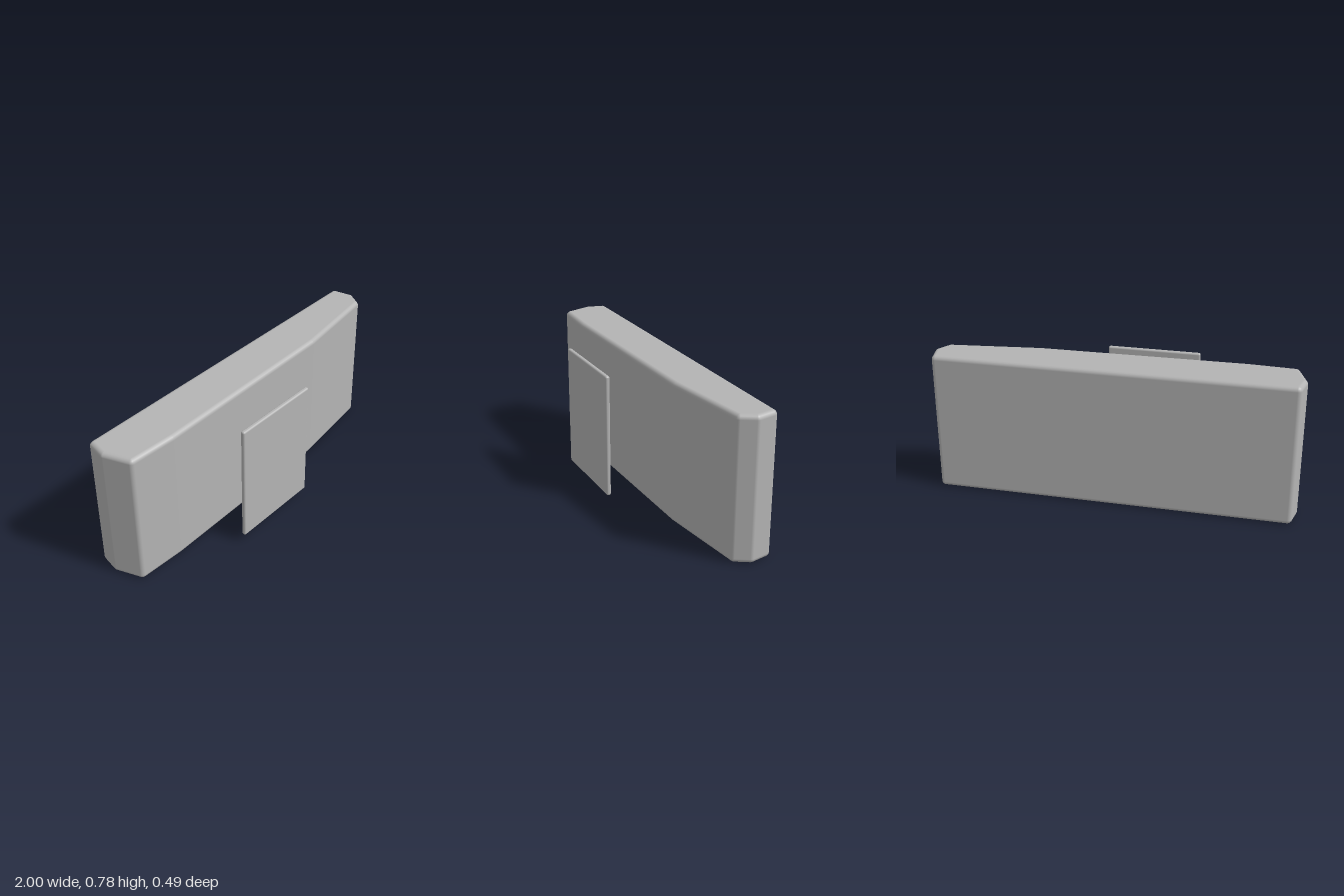
import * as THREE from 'three';
import { RoundedBoxGeometry } from 'three/addons/geometries/RoundedBoxGeometry.js';

// Upright convex slab with every edge rounded: corners are [x, z] centres of the
// rounded edges, listed from right through front to left and back.
function roundedSlab(corners, height, r, steps = 4) {
  const n = corners.length;
  const edgeAngle = (i) => {
    const a = corners[(i + n) % n], b = corners[(i + 1 + n) % n];
    return Math.atan2(-(b[0] - a[0]), b[1] - a[1]);
  };
  // plan outline: an arc of directions around each corner
  const outline = [];
  corners.forEach(([x, z], i) => {
    const start = edgeAngle(i - 1);
    let turn = edgeAngle(i) - start;
    while (turn < 0) turn += Math.PI * 2;
    for (let s = 0; s <= steps; s++) outline.push({ x, z, t: start + (turn * s) / steps });
  });
  outline.push(outline[0]);

  // vertical profile: bottom rounding, then top rounding
  const rows = [];
  for (let s = 0; s <= steps; s++) rows.push({ y: r, p: ((s / steps - 1) * Math.PI) / 2 });
  for (let s = 0; s <= steps; s++) rows.push({ y: height - r, p: ((s / steps) * Math.PI) / 2 });

  const pos = [], nor = [], index = [];
  const addRow = (y, p, cap) => outline.forEach((o) => {
    const d = [Math.cos(p) * Math.cos(o.t), Math.sin(p), Math.cos(p) * Math.sin(o.t)];
    if (cap) pos.push(0, y, -0.1);
    else pos.push(o.x + r * d[0], y + r * d[1], o.z + r * d[2]);
    nor.push(...d);
  });
  addRow(0, -Math.PI / 2, true);
  rows.forEach(({ y, p }) => addRow(y, p, false));
  addRow(height, Math.PI / 2, true);

  const w = outline.length;
  for (let j = 0; j < rows.length + 1; j++) {
    for (let i = 0; i < w - 1; i++) {
      const a = j * w + i, b = a + 1, c = a + w, d = c + 1;
      index.push(a, c, b, b, c, d);
    }
  }
  const g = new THREE.BufferGeometry();
  g.setAttribute('position', new THREE.Float32BufferAttribute(pos, 3));
  g.setAttribute('normal', new THREE.Float32BufferAttribute(nor, 3));
  g.setIndex(index);
  return g;
}

export function createModel() {
  const model = new THREE.Group();
  model.name = 'slabWithPanel';
  const grey = new THREE.MeshStandardMaterial({ color: 0xb4b4b4 });
  grey.name = 'plain grey';

  // long body, tapering towards its left end
  const body = new THREE.Mesh(roundedSlab([
    [0.975, -0.13], [0.935, -0.063], [0.44, -0.002], [-0.68, 0.016],
    [-0.93, 0.003], [-0.975, -0.13], [-0.955, -0.22], [0.957, -0.22],
  ], 0.783, 0.025), grey);
  body.name = 'body';

  // thin plate standing clear of the front
  const panel = new THREE.Mesh(new RoundedBoxGeometry(0.517, 0.69, 0.025, 4, 0.01), grey);
  panel.name = 'frontPanel';
  panel.position.set(-0.142, 0.394, 0.2325);

  model.add(body, panel);
  return model;
}
